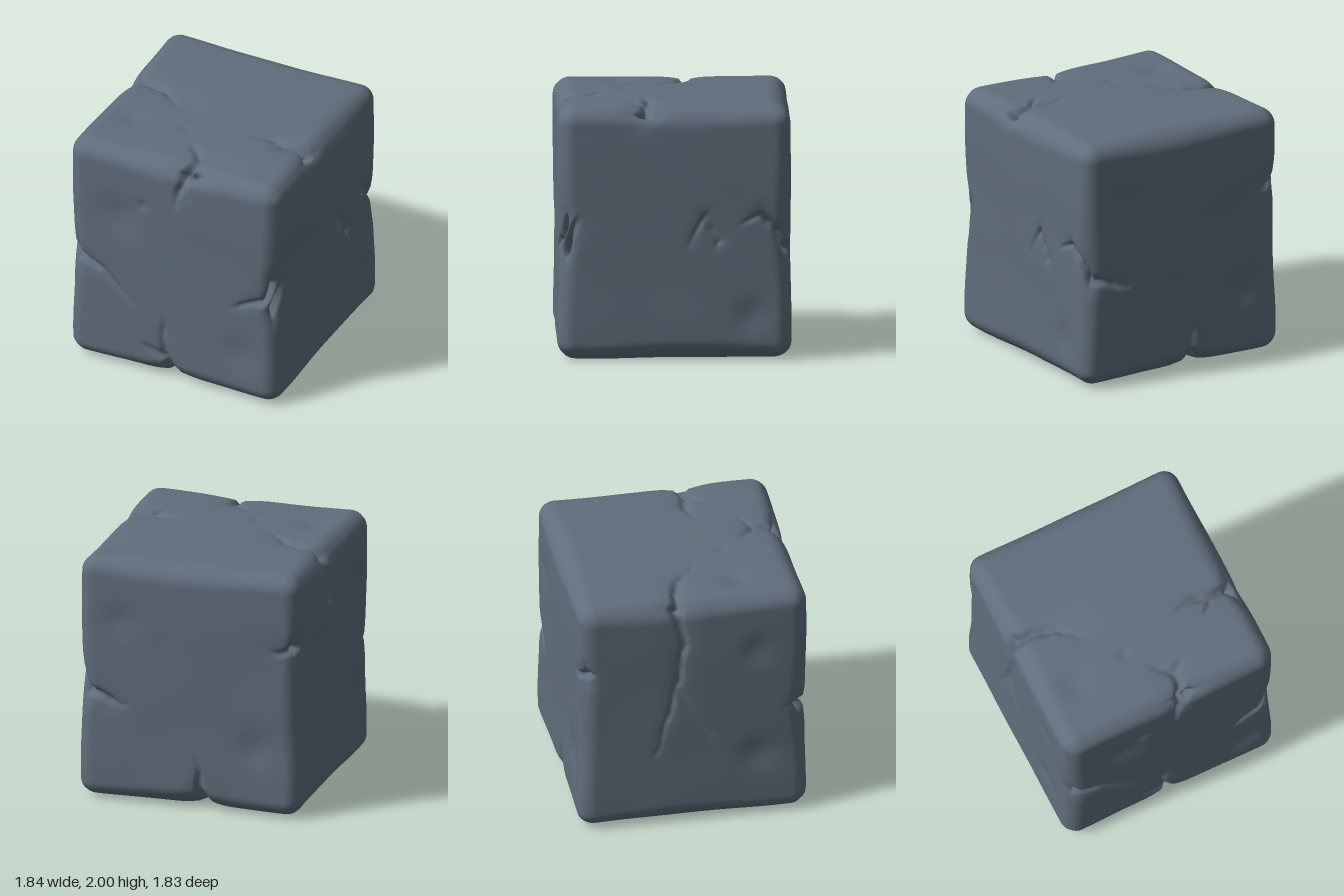
import * as THREE from 'three';
import { mergeVertices } from 'three/addons/utils/BufferGeometryUtils.js';

const H = 0.92; // half width; the block spans y 0..2

// Place two face coordinates on each side of the block
const sides = {
  front: (x, y) => new THREE.Vector3(x, y, H),
  back: (x, y) => new THREE.Vector3(x, y, -H),
  right: (z, y) => new THREE.Vector3(H, y, z),
  left: (z, y) => new THREE.Vector3(-H, y, z),
  top: (x, z) => new THREE.Vector3(x, 2, z),
  bottom: (x, z) => new THREE.Vector3(x, 0, z),
};

// Cracks on each side, each running from its open end to its tip
const cracks = {
  front: [
    [[0.1, 2], [0.03, 1.62]],
    [[0.17, 2], [0.09, 1.8]],
    [[-H, 0.94], [-0.6, 0.87], [-0.33, 0.63]],
    [[H, 1.09], [0.8, 0.96], [0.53, 0.85]],
    [[-0.02, 0], [-0.07, 0.25], [-0.08, 0.56]],
    [[-0.09, 0.19], [-0.26, 0.27]],
  ],
  back: [
    [[H, 0.92], [0.5, 0.8]],
    [[-H, 1.4], [-0.68, 1.38]],
    [[-0.1, 0], [-0.1, 0.2], [-0.06, 0.42]],
  ],
  right: [
    [[-0.34, 0.94], [-0.24, 1.13], [-0.12, 0.9]],
    [[-H, 0.92], [-0.68, 1.13], [-0.54, 1.09]],
    [[H, 0.87], [0.75, 1.12]],
  ],
  left: [
    [[H, 0.94], [0.75, 0.98]],
    [[-H, 1.4], [-0.78, 1.43]],
    [[-0.14, 2], [-0.08, 1.6], [-0.14, 1.22], [-0.3, 0.64]],
    [[-0.14, 1.22], [0.13, 0.77]],
  ],
  top: [
    [[0.1, H], [0.13, 0.67], [-0.04, 0.51]],
    [[0.13, 0.67], [0.24, 0.58]],
    [[-H, -0.14], [-0.55, -0.08], [-0.35, 0.11]],
    [[H, 0.24], [0.55, 0.2], [0.35, 0.23]],
    [[0.64, 0.26], [0.55, 0.34]],
  ],
  bottom: [
    [[-0.02, H], [-0.03, 0.65], [0.4, 0.3], [0.63, 0.37]],
    [[-0.1, -H], [-0.2, -0.35]],
  ],
};

// Worn hollows: centre and radius
const hollows = [
  [-0.26, 1.56, H, 0.08], [-0.45, 1.42, H, 0.32], [0.6, 0.42, H, 0.26],
  [-0.6, 2, 0.4, 0.2], [-0.15, 2, 0.36, 0.08], [H, 0.35, -0.6, 0.22],
  [-0.55, 0.55, -H, 0.24], [0.55, 1.5, -H, 0.24],
  [-H, 1.5, 0.5, 0.22], [-H, 0.55, 0.5, 0.24],
];

// Cracks gape where they reach an edge of the block
function openDepth({ x, y, z }) {
  const gaps = [H - Math.abs(x), 1 - Math.abs(y - 1), H - Math.abs(z)].sort((a, b) => a - b);
  return 0.036 + 0.065 * Math.exp(-gaps[1] / 0.15);
}

const segments = Object.entries(cracks).flatMap(([side, lines]) => lines.flatMap((line) => {
  const points = line.map(([u, v]) => sides[side](u, v));
  const depths = points.map((p, i) => openDepth(p) * (i === points.length - 1 ? 0.2 : 1));
  return points.slice(1).map((end, i) => (
    { a: points[i], ab: end.clone().sub(points[i]), d0: depths[i], d1: depths[i + 1] }
  ));
}));

const wave = (p, f, s) =>
  (Math.sin(p.x * f + s) + Math.sin(p.y * f * 1.2 + s * 2.3) + Math.sin(p.z * f * 0.9 + s * 1.7)
    + Math.sin((p.x + p.y - p.z) * f * 0.8 + s * 3.1)) / 4;

const away = new THREE.Vector3();

// Inward cut at a point on the sharp block
function cutDepth(p) {
  // a slight meander keeps the cracks from running straight
  const sway = 0.012 * Math.sin(17 * (p.x + p.y + p.z));
  let sharp = 0;
  let soft = 0;
  for (const { a, ab, d0, d1 } of segments) {
    away.copy(p).addScalar(sway).sub(a);
    const t = THREE.MathUtils.clamp(away.dot(ab) / ab.lengthSq(), 0, 1);
    const dist = away.addScaledVector(ab, -t).length();
    const depth = d0 + (d1 - d0) * t;
    const width = 0.025 + depth * 0.42;
    sharp = Math.max(sharp, depth * Math.max(0, 1 - dist / width) ** 1.4);
    soft = Math.max(soft, depth * 0.28 * Math.exp(-((dist / (width * 2)) ** 2)));
  }
  let worn = 0;
  for (const [x, y, z, radius] of hollows) {
    const k = Math.hypot(p.x - x, p.y - y, p.z - z) / radius;
    worn += (0.01 + 0.05 * radius) * Math.exp(-3 * k * k);
  }
  return sharp + soft + worn;
}

function stoneGeometry() {
  const box = new THREE.BoxGeometry(2 * H, 2, 2 * H, 102, 110, 102).translate(0, 1, 0);
  box.deleteAttribute('uv');
  box.deleteAttribute('normal');
  const geo = mergeVertices(box, 1e-4);
  const pos = geo.attributes.position;
  const q = new THREE.Vector3();
  const core = new THREE.Vector3();
  const dir = new THREE.Vector3();
  const low = new THREE.Vector3();
  const high = new THREE.Vector3();
  for (let i = 0; i < pos.count; i++) {
    q.fromBufferAttribute(pos, i);
    // round the edges by an uneven radius
    const r = 0.165 + 0.04 * wave(q, 4.3, 1.3);
    core.copy(q).clamp(low.set(r - H, r, r - H), high.set(H - r, 2 - r, H - r));
    dir.copy(q).sub(core).normalize();
    const bump = 0.012 * wave(q, 3.1, 0.7) + 0.005 * wave(q, 8.5, 2.1) - 0.009;
    core.addScaledVector(dir, r + bump - cutDepth(q));
    pos.setXYZ(i, core.x, core.y, core.z);
  }
  geo.computeVertexNormals();
  return geo;
}

export function createModel() {
  const group = new THREE.Group();
  group.name = 'crackedStoneBlock';
  const stone = new THREE.MeshStandardMaterial({ color: 0x5f6d7b });
  stone.name = 'slate grey stone';
  const block = new THREE.Mesh(stoneGeometry(), stone);
  block.name = 'stoneBlock';
  group.add(block);
  return group;
}
